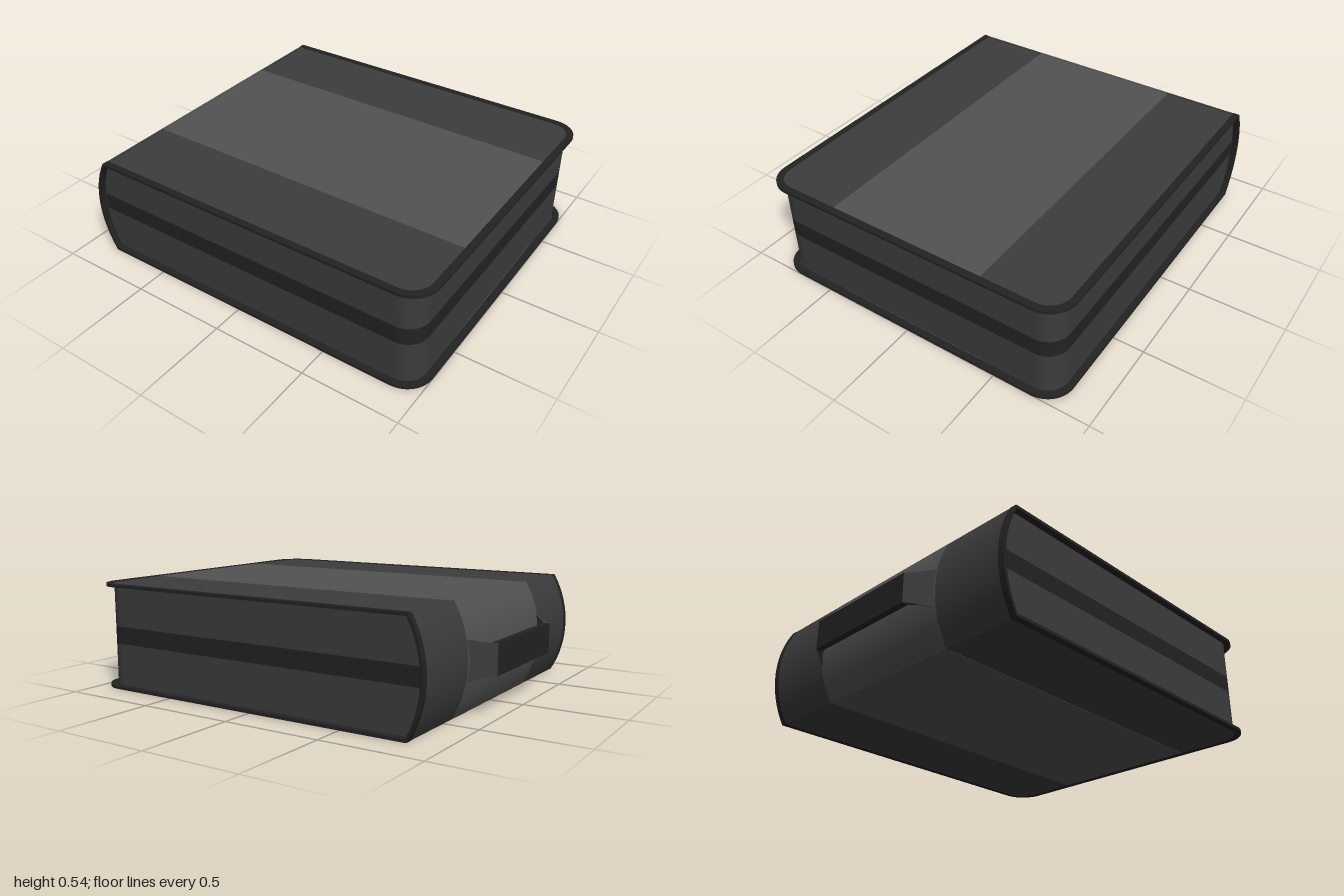
import * as THREE from 'three';
import { toCreasedNormals } from 'three/addons/utils/BufferGeometryUtils.js';

const H = 0.54, MID = H / 2;          // case height and its middle
const HINGE = -0.83;                  // where the covers meet the spine
const cover = new THREE.MeshStandardMaterial({ color: 0x3c3c3c });
const stripe = new THREE.MeshStandardMaterial({ color: 0x525252 });
const trim = new THREE.MeshStandardMaterial({ color: 0x232323 });

// Bulging spine curve: x for a given height
const spineX = (y, inset = 0) => -0.382 - Math.sqrt(0.523 ** 2 - (y - MID) ** 2) + inset;

function spineArc(y0, y1, inset) {
  const pts = [];
  for (let i = 0; i <= 16; i++) {
    const y = y0 + (y1 - y0) * i / 16;
    pts.push(new THREE.Vector2(spineX(y, inset), y));
  }
  return pts;
}

// Points of a plan outline, square at x0 and rounded at the x1 corners
function outline(x0, x1, w, r) {
  const s = new THREE.Shape();
  s.moveTo(x0, -w);
  s.lineTo(x1 - r, -w);
  s.absarc(x1 - r, -w + r, r, -Math.PI / 2, 0, false);
  s.lineTo(x1, w - r);
  s.absarc(x1 - r, w - r, r, 0, Math.PI / 2, false);
  s.lineTo(x0, w);
  return s.getPoints(10);
}

export function createModel() {
  const group = new THREE.Group();

  function add(name, geometry, material) {
    const mesh = new THREE.Mesh(geometry, material);
    mesh.name = name;
    group.add(mesh);
  }
  function extrude(points, depth) {
    return new THREE.ExtrudeGeometry(new THREE.Shape(points), { depth, bevelEnabled: false });
  }
  // Plan outline raised from y0 to y1
  function slab(name, points, y0, y1, material) {
    const g = extrude(points, y1 - y0).rotateX(Math.PI / 2).translate(0, y1, 0);
    add(name, toCreasedNormals(g, 0.5), material);
  }
  // Side outline stretched from z0 to z1
  function across(name, points, z0, z1, material) {
    add(name, toCreasedNormals(extrude(points, z1 - z0).translate(0, 0, z0), 0.5), material);
  }

  // Walls with the zip band around the middle
  const layers = [
    ['lowerWall', 0.008, 0.23, cover],
    ['zipBand', 0.23, 0.32, trim],
    ['upperWall', 0.32, H - 0.008, cover],
  ];
  for (const [name, y0, y1, material] of layers) {
    slab(name, outline(-0.8, 0.962, 0.805, 0.11), y0, y1, material);
    const end = [...spineArc(y0, y1, 0.012), new THREE.Vector2(-0.8, y1), new THREE.Vector2(-0.8, y0)];
    across(name + 'SpineEnd', end, -0.805, 0.805, material);
  }

  // Top and bottom covers: edge trim, panel and wide centre stripe
  const rim = [
    ...outline(HINGE, 1, 0.84, 0.14),
    ...outline(HINGE, 0.965, 0.807, 0.108).reverse(),
  ];
  const panel = outline(HINGE, 0.966, 0.808, 0.108);
  for (const [side, y] of [['bottom', 0], ['top', H - 0.015]]) {
    slab(side + 'CoverTrim', rim, y, y + 0.015, trim);
    slab(side + 'Panel', panel, y + 0.003, y + 0.012, cover);
    const band = new THREE.BoxGeometry(0.965 - HINGE, 0.012, 0.84);
    band.translate((0.965 + HINGE) / 2, y + 0.0075, 0);
    add(side + 'Stripe', band, stripe);
  }

  // Curved spine
  const shell = (inset) => [...spineArc(0, H, inset), ...spineArc(0, H, 0.015).reverse()];
  across('spineStripe', shell(0.001), -0.42, 0.42, stripe);
  for (const s of [-1, 1]) {
    const span = (a, b) => (s > 0 ? [a, b] : [-b, -a]);
    across('spinePanel', shell(0.002), ...span(0.42, 0.807), cover);
    across('spineTrim', shell(0), ...span(0.807, 0.84), trim);
  }

  // Handle grip and its flared strap ends
  const grip = new THREE.BoxGeometry(0.032, 0.15, 0.64);
  grip.translate(-0.984, MID + 0.005, 0);
  add('handleGrip', grip, trim);
  for (const s of [-1, 1]) {
    // each section: z, outer x, inner x, half height
    const sections = [
      [0.32, -1, -0.968, 0.075],
      [0.358, -0.96, -0.943, 0.079],
      [0.42, -0.892, -0.89, 0.098],
    ];
    const pos = [], index = [];
    for (const [z, xo, xi, h] of sections) {
      for (const [x, dy] of [[xo, -h], [xo, h], [xi, h], [xi, -h]]) pos.push(x, MID + 0.005 + dy, s * z);
    }
    for (let i = 0; i < 2; i++) {
      for (let j = 0; j < 4; j++) {
        const a = i * 4 + j, b = i * 4 + (j + 1) % 4;
        if (s > 0) index.push(a, a + 4, b, b, a + 4, b + 4);
        else index.push(a, b, a + 4, b, b + 4, a + 4);
      }
    }
    const g = new THREE.BufferGeometry();
    g.setAttribute('position', new THREE.Float32BufferAttribute(pos, 3));
    g.setIndex(index);
    const strap = cover.clone();
    strap.side = THREE.DoubleSide;
    add('handleStrap', toCreasedNormals(g.toNonIndexed(), 0.5), strap);
  }

  return group;
}
